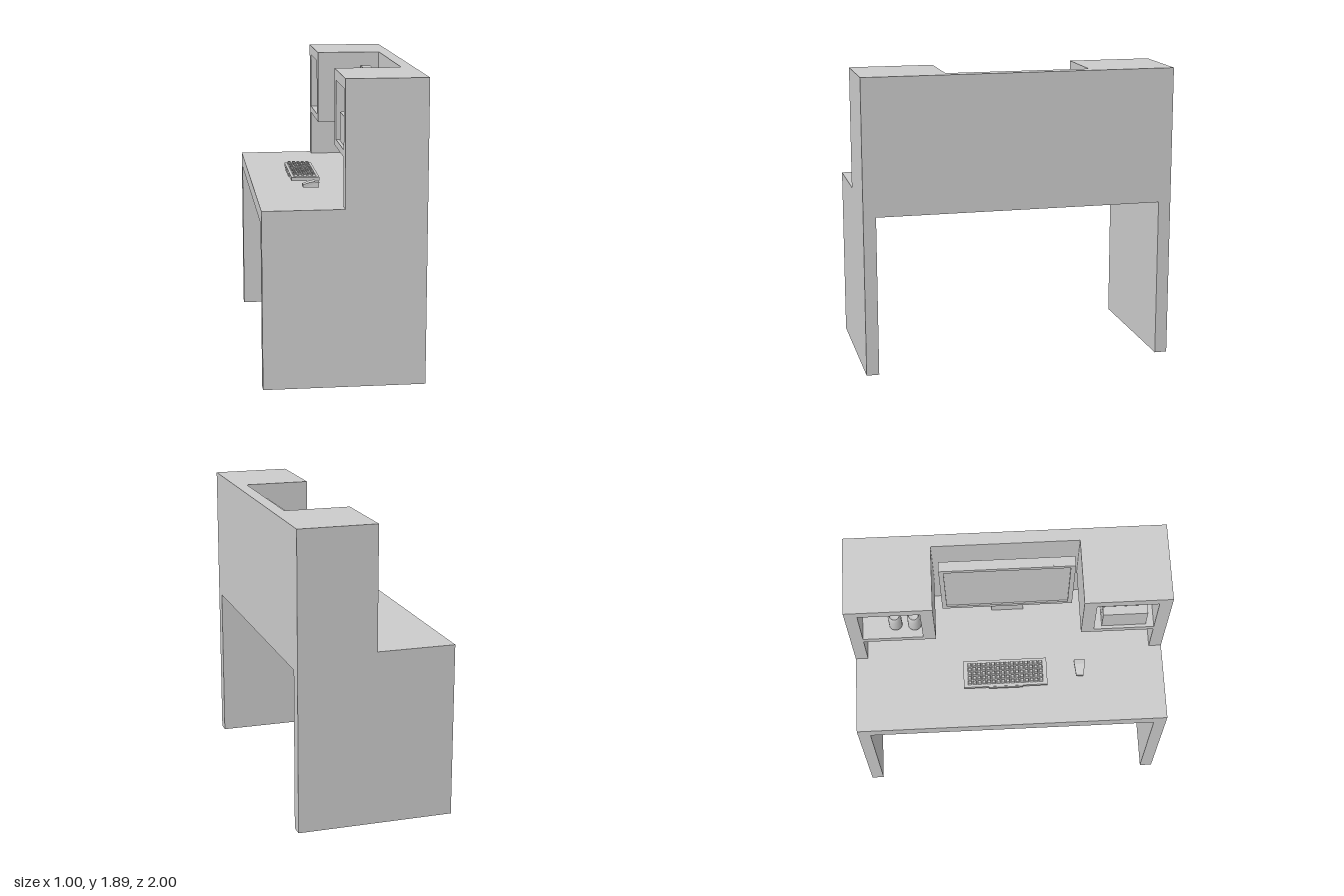
import * as THREE from 'three';

export function createModel() {
  const model = new THREE.Group();
  const mat = new THREE.MeshStandardMaterial({ color: 0xcccccc });

  function add(name, geometry, parent = model) {
    const mesh = new THREE.Mesh(geometry, mat);
    mesh.name = name;
    parent.add(mesh);
    return mesh;
  }
  // Box given by its low and high limits on each axis
  function box(name, x0, x1, y0, y1, z0, z1, parent) {
    const g = new THREE.BoxGeometry(x1 - x0, y1 - y0, z1 - z0);
    g.translate((x0 + x1) / 2, (y0 + y1) / 2, (z0 + z1) / 2);
    return add(name, g, parent);
  }
  function group(name) {
    const g = new THREE.Group();
    g.name = name;
    model.add(g);
    return g;
  }
  // Profile in x and y, extruded along z about z = 0
  function slab(points, depth) {
    const shape = new THREE.Shape(points.map(([x, y]) => new THREE.Vector2(x, y)));
    return new THREE.ExtrudeGeometry(shape, { depth, bevelEnabled: false })
      .translate(0, 0, -depth / 2);
  }

  const desk = 1.11, shelf = 1.455, top = 1.89, wall = 0.08;

  // Worktop and back panel between the two end panels
  box('worktop', -0.5, 0.42, 1.02, desk, -0.92, 0.92);
  box('backPanel', 0.42, 0.5, 1.02, top, -0.92, 0.92);

  // L-shaped end panels and open shelf towers, mirrored in z
  const panel = slab([[-0.5, 0], [0.5, 0], [0.5, top], [0, top], [0, desk], [-0.5, desk]], wall);
  for (const s of [-1, 1]) {
    add('endPanel', panel).position.z = s * 0.96;
    const tower = group('shelfTower');
    const span = (name, y0, y1, a, b) =>
      box(name, 0, 0.42, y0, y1, Math.min(s * a, s * b), Math.max(s * a, s * b), tower);
    span('towerInnerWall', 1.41, top, 0.46, 0.54);
    span('towerTop', 1.825, top, 0.54, 0.92);
    span('towerShelf', 1.41, shelf, 0.54, 0.92);
  }

  // Monitor with raised bezel, on a short stand
  const monitor = group('monitor');
  box('monitorBody', 0.3, 0.355, 1.2, 1.8, -0.42, 0.43, monitor);
  for (const y of [1.2, 1.77]) box('bezelRail', 0.29, 0.3, y, y + 0.03, -0.42, 0.43, monitor);
  for (const z of [-0.42, 0.4]) box('bezelSide', 0.29, 0.3, 1.23, 1.77, z, z + 0.03, monitor);
  box('monitorStand', 0.3, 0.35, desk, 1.2, -0.1, 0.11, monitor);

  // Keyboard with a grid of tapered keys
  const keyboard = group('keyboard');
  box('keyboardBase', -0.25, -0.07, 1.137, 1.16, -0.3, 0.24, keyboard);
  box('keyboardTab', -0.257, -0.25, 1.137, 1.157, -0.14, 0.08, keyboard);
  const rows = 5, columns = 16, dx = 0.15 / rows, dz = 0.49 / columns;
  const key = new THREE.CylinderGeometry(0.012, 0.018, 0.014, 4, 1).rotateY(Math.PI / 4).toNonIndexed();
  key.computeVertexNormals();
  for (let i = 0; i < rows; i++) {
    for (let j = 0; j < columns; j++) {
      add('key', key, keyboard)
        .position.set(-0.235 + (i + 0.5) * dx, 1.167, -0.275 + (j + 0.5) * dz);
    }
  }

  // Mouse: wedge profile, narrower towards the low end
  const mouse = slab([[-0.2, 1.142], [-0.1, 1.142], [-0.098, 1.175], [-0.13, 1.18], [-0.165, 1.172], [-0.2, 1.16]], 0.068);
  const p = mouse.attributes.position;
  for (let i = 0; i < p.count; i++) {
    p.setZ(i, p.getZ(i) * (0.7 + 0.3 * Math.min(1, (p.getX(i) + 0.2) / 0.07)));
  }
  mouse.computeVertexNormals();
  add('mouse', mouse).position.z = 0.453;

  // Drink cans on one shelf
  const canProfile = [[0, 0], [0.03, 0], [0.042, 0.012], [0.042, 0.125], [0.032, 0.148],
    [0.032, 0.155], [0.028, 0.155], [0.027, 0.149], [0, 0.149]];
  const can = new THREE.LatheGeometry(canProfile.map(([x, y]) => new THREE.Vector2(x, y)), 24);
  for (const [x, z] of [[0.09, -0.71], [0.085, -0.59], [0.2, -0.67]]) {
    add('drinkCan', can).position.set(x, shelf, z);
  }

  // Books on the other shelf, taller towards the back
  const books = group('books');
  [0.18, 0.195, 0.21, 0.225].forEach((h, i) => {
    const x = 0.02 + i * 0.06;
    box('book', x, x + 0.056, shelf, shelf + h, 0.59, 0.87, books);
  });

  return model;
}
